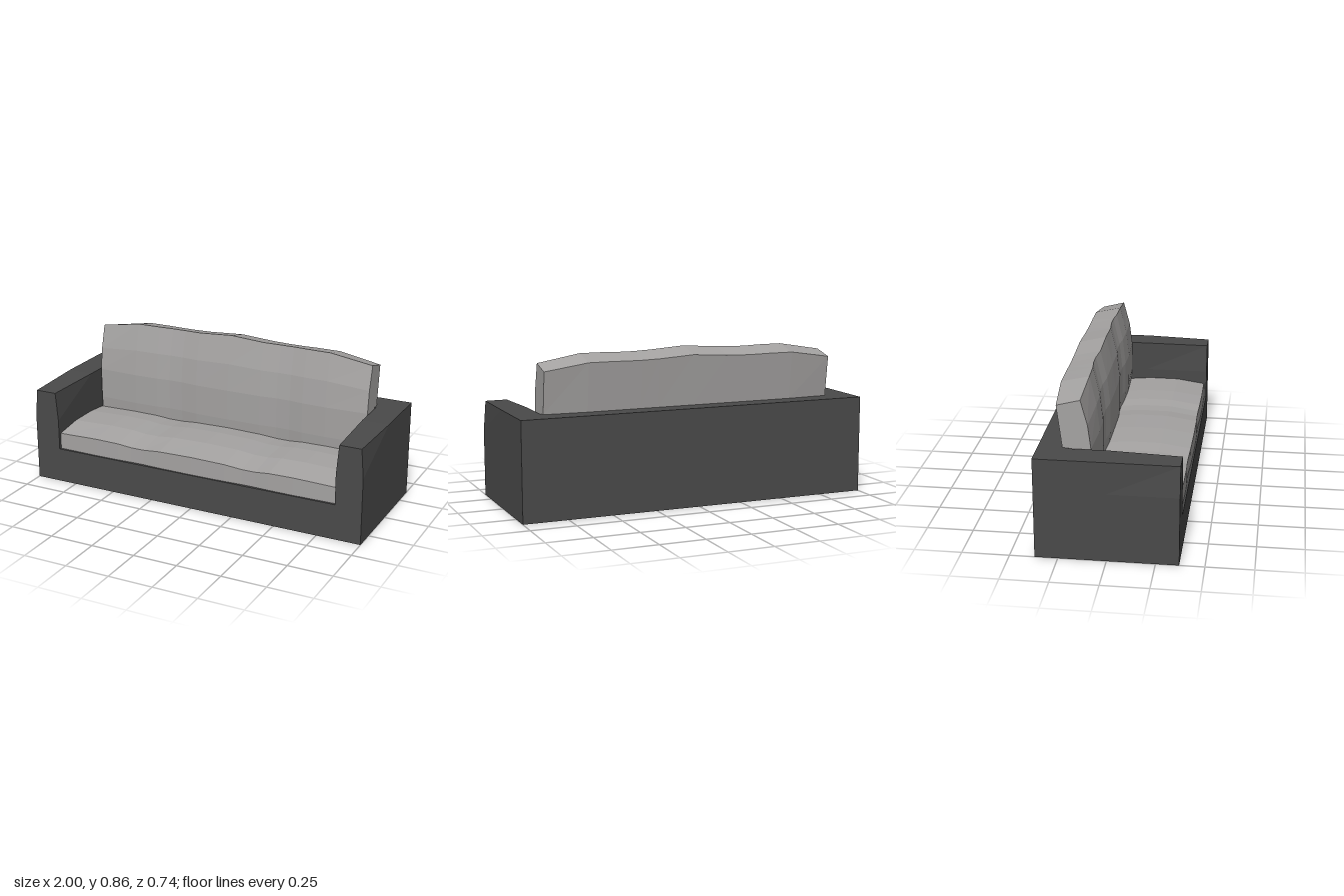
import * as THREE from 'three';

const frameMat = new THREE.MeshStandardMaterial({ color: 0x4a4a4a });
frameMat.name = 'dark frame';
const cushionMat = new THREE.MeshStandardMaterial({ color: 0xa5a3a2 });
cushionMat.name = 'grey cushion';

function addMesh(parent, name, geometry, material) {
  const mesh = new THREE.Mesh(geometry, material);
  mesh.name = name;
  parent.add(mesh);
  return mesh;
}

// Half stations across a cushion: [x, dent depth, edge sag]
const stations = [
  [0, 0, 0], [0.2, 0.002, 0.25], [0.3, 0.012, 0.3], [0.38, 0.012, 0.3],
  [0.46, 0.003, 0.27], [0.6, 0, 0.27], [0.84, 0, 1],
];

// Lofts a (z, y) profile along x; warp() gives each station its own section
function loftCushion(profile, halfWidth, warp) {
  const half = stations.map(([x, dent, sag]) => ({ x: x * halfWidth / 0.84, dent, sag }));
  const all = [...half.slice(1).reverse().map((s) => ({ ...s, x: -s.x })), ...half];
  const n = profile.length;
  const rings = all.map((s) => profile.map(([z, y]) => {
    const [wz, wy] = warp(z, y, s);
    return [s.x, wy, wz];
  }));
  const out = [];
  const tri = (a, b, c) => out.push(...a, ...b, ...c);
  for (let i = 0; i < rings.length - 1; i++) {
    for (let j = 0; j < n; j++) {
      const k = (j + 1) % n;
      const a = rings[i][j], b = rings[i + 1][j], c = rings[i + 1][k], d = rings[i][k];
      tri(a, b, c);
      tri(a, c, d);
    }
  }
  // End caps
  const first = rings[0], last = rings[rings.length - 1];
  for (let j = 1; j < n - 1; j++) {
    tri(first[0], first[j], first[j + 1]);
    tri(last[0], last[j + 1], last[j]);
  }
  const geo = new THREE.BufferGeometry();
  geo.setAttribute('position', new THREE.Float32BufferAttribute(out, 3));
  geo.computeVertexNormals();
  return geo;
}

// Armrest block whose upper front end narrows and dips slightly
function armGeometry() {
  let geo = new THREE.BoxGeometry(0.15, 0.345, 0.74, 1, 2, 2);
  geo.translate(0, 0.3725, 0);
  const p = geo.attributes.position;
  for (let i = 0; i < p.count; i++) {
    if (p.getY(i) > 0.5 && p.getZ(i) > 0.3) {
      p.setX(i, p.getX(i) * 0.82);
      p.setY(i, 0.538);
    }
  }
  geo = geo.toNonIndexed();
  geo.computeVertexNormals();
  return geo;
}

export function createModel() {
  const sofa = new THREE.Group();
  sofa.name = 'sofa';

  // Frame: base, back wall and two arms
  addMesh(sofa, 'base', new THREE.BoxGeometry(2, 0.2, 0.74), frameMat).position.y = 0.1;
  addMesh(sofa, 'backWall', new THREE.BoxGeometry(1.7, 0.345, 0.16), frameMat)
    .position.set(0, 0.3725, -0.29);
  for (const side of [1, -1]) {
    addMesh(sofa, side > 0 ? 'leftArm' : 'rightArm', armGeometry(), frameMat)
      .position.x = side * 0.925;
  }

  // Seat cushion: gently crowned, dented where people sit
  const seatProfile = [
    [0.362, 0.198], [0.361, 0.303], [0.19, 0.327], [0.02, 0.328], [-0.1, 0.317],
    [-0.2, 0.3], [-0.2, 0.198],
  ];
  addMesh(sofa, 'seatCushion', loftCushion(seatProfile, 0.848, (z, y, s) => [
    z > 0.3 ? z - s.dent * 0.4 - s.sag * 0.006 : z,
    y > 0.25 ? y - s.dent - s.sag * 0.011 : y,
  ]), cushionMat);

  // Back cushion: leans back, with an arched top edge
  const backProfile = [
    [-0.1, 0.22], [-0.088, 0.37], [-0.087, 0.545], [-0.103, 0.7], [-0.139, 0.86],
    [-0.287, 0.825], [-0.258, 0.545], [-0.235, 0.22],
  ];
  addMesh(sofa, 'backCushion', loftCushion(backProfile, 0.842, (z, y, s) => {
    const rise = Math.max(0, (y - 0.545) / 0.3);
    const isFront = z > -0.2;
    const ends = Math.max(0, s.sag - 0.3) / 0.7;
    return [
      isFront ? z - s.dent - ends * 0.01 : z + ends * 0.015,
      y - Math.min(1, rise) * s.sag * 0.055,
    ];
  }), cushionMat);

  return sofa;
}
